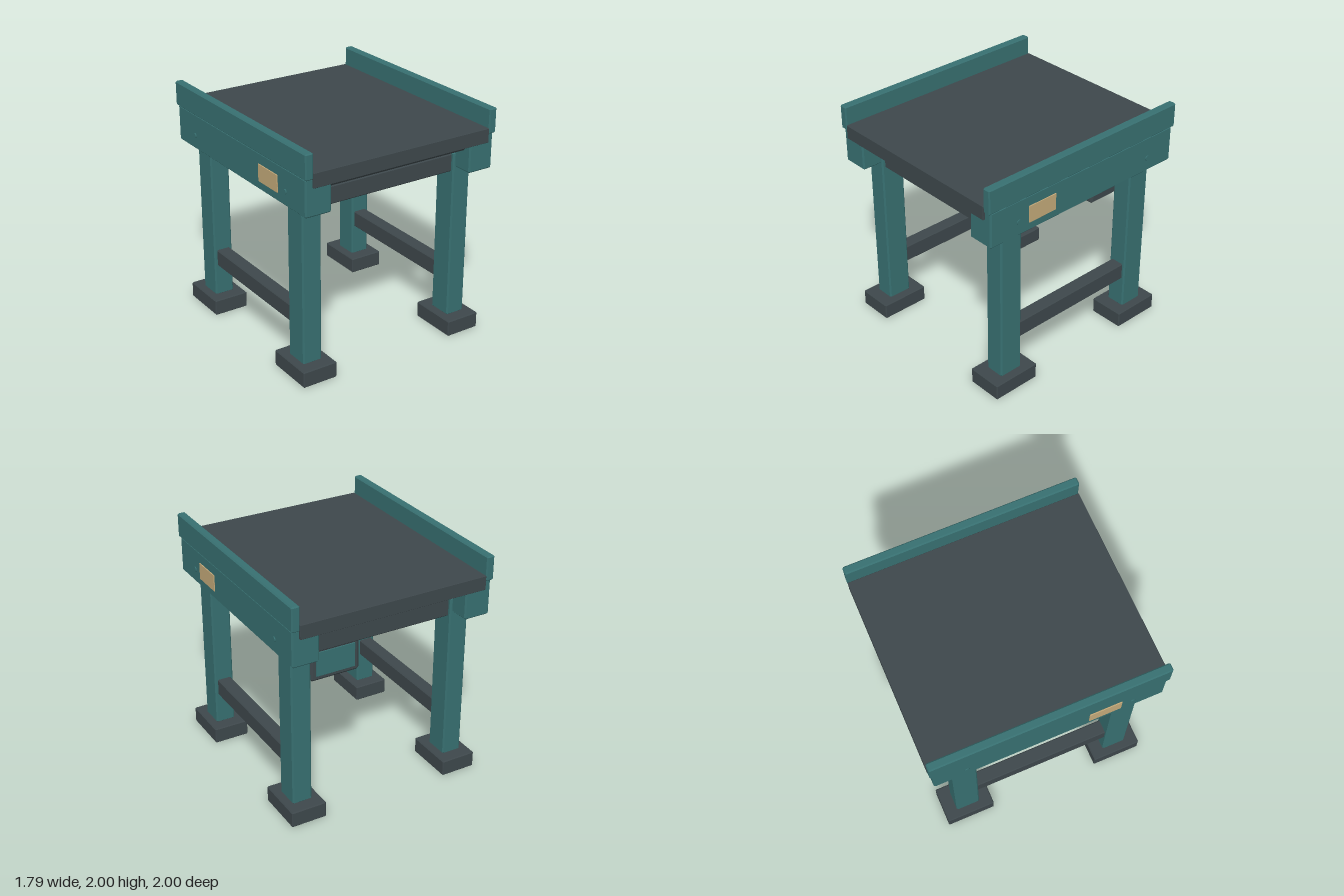
import * as THREE from 'three';
import { ConvexGeometry } from 'three/addons/geometries/ConvexGeometry.js';

const mat = (name, color) => {
  const m = new THREE.MeshStandardMaterial({ color });
  m.name = name;
  return m;
};

// Box with chamfered edges, given by its min and max corners
function chamferBox(min, max, c) {
  const mid = min.map((v, i) => (v + max[i]) / 2);
  const half = min.map((v, i) => (max[i] - v) / 2);
  const points = [];
  for (const sx of [-1, 1]) for (const sy of [-1, 1]) for (const sz of [-1, 1]) {
    for (let full = 0; full < 3; full++) {
      const p = [sx, sy, sz].map((s, i) => mid[i] + s * (half[i] - (i === full ? 0 : c)));
      points.push(new THREE.Vector3(...p));
    }
  }
  return new ConvexGeometry(points);
}

export function createModel() {
  const teal = mat('teal paint', 0x376f70);
  const dark = mat('dark grey', 0x3d474b);
  const tan = mat('tan plate', 0xc2a878);
  const model = new THREE.Group();
  model.name = 'conveyorTable';

  const add = (name, geometry, material) => {
    const mesh = new THREE.Mesh(geometry, material);
    mesh.name = name;
    model.add(mesh);
    return mesh;
  };
  const box = (name, min, max, material, c = 0.008) =>
    add(name, chamferBox(min, max, c), material);

  // Flat bed, and the belt return below it with sloping ends
  box('bed', [-0.825, 1.72, -1], [0.825, 1.84, 1], dark, 0.003);
  const profile = new THREE.Shape([
    [-0.97, 1.73], [-0.9, 1.66], [0.9, 1.66], [0.97, 1.73],
  ].map(([z, y]) => new THREE.Vector2(z, y)));
  const pan = new THREE.ExtrudeGeometry(profile, { depth: 1.34, bevelEnabled: false });
  pan.translate(0, 0, -0.67).rotateY(-Math.PI / 2);
  add('beltReturn', pan, dark);

  for (const s of [-1, 1]) {
    const side = s > 0 ? 'left' : 'right';
    // Box spanning x0..x1 on this side
    const sideBox = (name, x0, x1, y0, y1, z0, z1, material, c) =>
      box(side + name, [Math.min(s * x0, s * x1), y0, z0],
        [Math.max(s * x0, s * x1), y1, z1], material, c);

    // Side beam, guard rail and lower stretcher
    sideBox('Beam', 0.655, 0.885, 1.485, 1.795, -0.98, 0.98, teal, 0.012);
    sideBox('GuardRail', 0.825, 0.895, 1.79, 2, -1, 1, teal, 0.01);
    sideBox('Stretcher', 0.66, 0.78, 0.41, 0.56, -0.61, 0.61, dark);

    // Plate and bolts on the outer face
    sideBox('Plate', 0.885, 0.894, 1.56, 1.705, 0.325, 0.6, tan, 0.002);
    for (const z of [-0.7, 0.7]) {
      const bolt = add(side + 'Bolt', new THREE.CylinderGeometry(0.022, 0.022, 0.014, 16), teal);
      bolt.rotation.z = Math.PI / 2;
      bolt.position.set(s * 0.886, 1.605, z);
    }

    // Legs and feet
    for (const e of [-1, 1]) {
      const z = e * 0.703;
      const end = e > 0 ? 'Front' : 'Back';
      sideBox(end + 'Leg', 0.635, 0.807, 0.13, 1.61, z - 0.106, z + 0.106, teal, 0.012);
      sideBox(end + 'Foot', 0.565, 0.875, 0, 0.14, z - 0.215, z + 0.215, dark);
    }
  }

  // Cross beams between the legs
  for (const e of [-1, 1]) {
    box(e > 0 ? 'frontCrossBeam' : 'backCrossBeam',
      [-0.65, 1.44, e * 0.7 - 0.08], [0.65, 1.595, e * 0.7 + 0.08], dark, 0.01);
  }

  // Drive housing with its rear cover
  box('driveHousing', [0.18, 1.18, -0.77], [0.615, 1.48, -0.36], dark, 0.02);
  box('driveCover', [0.225, 1.225, -0.778], [0.57, 1.435, -0.769], teal, 0.002);

  return model;
}
